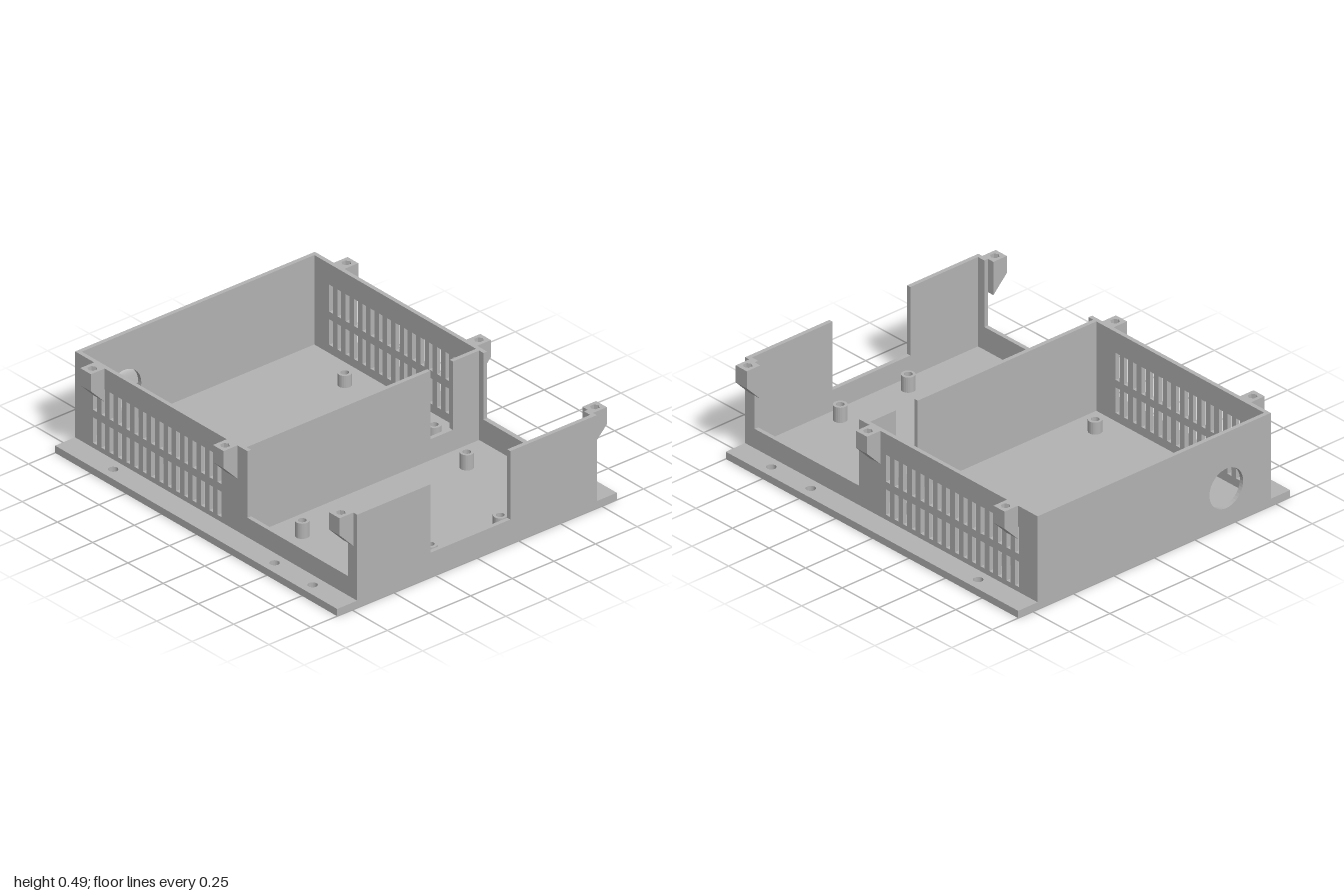
import * as THREE from 'three';

const W = 0.72, T = 0.022, H = 0.49, IN = W - T, FLANGE = 0.84;
const FLANGE_H = 0.038, FLOOR = 0.02, SILL = 0.13;

export function createModel() {
  const model = new THREE.Group();
  model.name = 'enclosure';
  const grey = new THREE.MeshStandardMaterial({ color: 0xb2b2b2 });
  grey.name = 'grey plastic';

  const add = (name, geometry, parent = model) => {
    const mesh = new THREE.Mesh(geometry, grey);
    mesh.name = name;
    parent.add(mesh);
    return mesh;
  };
  const outline = (pts) => new THREE.Shape(pts.map(([x, y]) => new THREE.Vector2(x, y)));
  const rect = (x0, y0, x1, y1) => outline([[x0, y0], [x1, y0], [x1, y1], [x0, y1]]);
  const circle = (x, y, r, n) => outline(Array.from({ length: n }, (_, i) => {
    const a = (i / n) * Math.PI * 2;
    return [x + r * Math.cos(a), y + r * Math.sin(a)];
  }));
  const extrude = (shape, depth) => new THREE.ExtrudeGeometry(shape, { depth, bevelEnabled: false, curveSegments: 32 });
  // plan shapes use (x, -z) and rise from y0 to y1
  const plan = (shape, y0, y1) => extrude(shape, y1 - y0).rotateX(-Math.PI / 2).translate(0, y0, 0);
  // elevation shapes across the width use (x, y)
  const across = (shape, z0, z1) => extrude(shape, z1 - z0).translate(0, 0, z0);
  // elevation shapes along the side use (-z, y)
  const along = (shape, x0, x1) => extrude(shape, x1 - x0).rotateY(Math.PI / 2).translate(x0, 0, 0);

  // Floor between the walls
  add('floor', plan(rect(-IN, -1 + T, IN, 1 - T), 0, FLOOR));

  // Back wall with a round cable opening
  const back = rect(-IN, 0, IN, H);
  back.holes.push(circle(-0.445, 0.197, 0.104, 40));
  add('backWall', across(back, -1, -1 + T));

  // Walls with a notch cut from the top edge
  const notched = (a, b) => outline([[-IN, 0], [IN, 0], [IN, H], [b, H], [b, SILL], [a, SILL], [a, H], [-IN, H]]);
  add('frontWall', across(notched(-0.28, 0.2), 1 - T, 1));
  add('divider', across(notched(0.405, 0.54), 0.169, 0.191));

  for (const s of [1, -1]) {
    const side = s > 0 ? 'left' : 'right';
    const lo = (a, b) => (s > 0 ? a : -b);
    const hi = (a, b) => (s > 0 ? b : -a);

    // Mounting flange with screw holes
    const flange = rect(lo(W, FLANGE), -1, hi(W, FLANGE), 1);
    for (const z of [-0.66, 0.485, 0.755]) flange.holes.push(circle(s * 0.78, -z, 0.024, 24));
    add(side + 'Flange', plan(flange, 0, FLANGE_H));

    // Side wall, lowered towards the front, with two rows of vents
    const wall = outline([[-1, 0], [1, 0], [1, H], [-0.222, H], [-0.222, 0.14],
      [-0.935, 0.14], [-0.935, H], [-1, H]]);
    for (let i = 0; i < 16; i++) {
      const c = -0.024 + i * 0.0589;
      for (const [y0, y1] of [[0.064, 0.198], [0.238, 0.38]]) {
        wall.holes.push(rect(c - 0.0135, y0, c + 0.0135, y1));
      }
    }
    add(side + 'Wall', along(wall, lo(IN, W), hi(IN, W)));

    // Lid screw bosses: drilled block on a sloped support
    for (const z of [-0.828, 0.113, 0.935]) {
      const boss = new THREE.Group();
      boss.name = side + 'ScrewBoss';
      model.add(boss);
      const d = 0.038;
      const block = rect(lo(W, 0.803), -z - d, hi(W, 0.803), -z + d);
      block.holes.push(circle(s * 0.763, -z, 0.023, 6));
      add('drilledBlock', plan(block, 0.4, H), boss);
      add('slopedSupport', across(outline([[s * W, 0.315], [s * 0.803, 0.4], [s * W, 0.4]]), z - d, z + d), boss);
    }
  }

  // Hollow circuit board standoffs: x, z, top height
  const standoffs = [
    [-0.567, -0.603, 0.083], [0.563, -0.603, 0.083], [-0.567, 0.032, 0.083], [0.563, 0.032, 0.083],
    [-0.497, 0.347, 0.1], [0.492, 0.347, 0.1], [-0.193, 0.896, 0.1], [0.227, 0.896, 0.1],
  ];
  for (const [x, z, top] of standoffs) {
    const ring = circle(x, -z, 0.034, 24);
    ring.holes.push(circle(x, -z, 0.02, 24));
    add('standoff', plan(ring, FLOOR, top));
  }
  return model;
}
